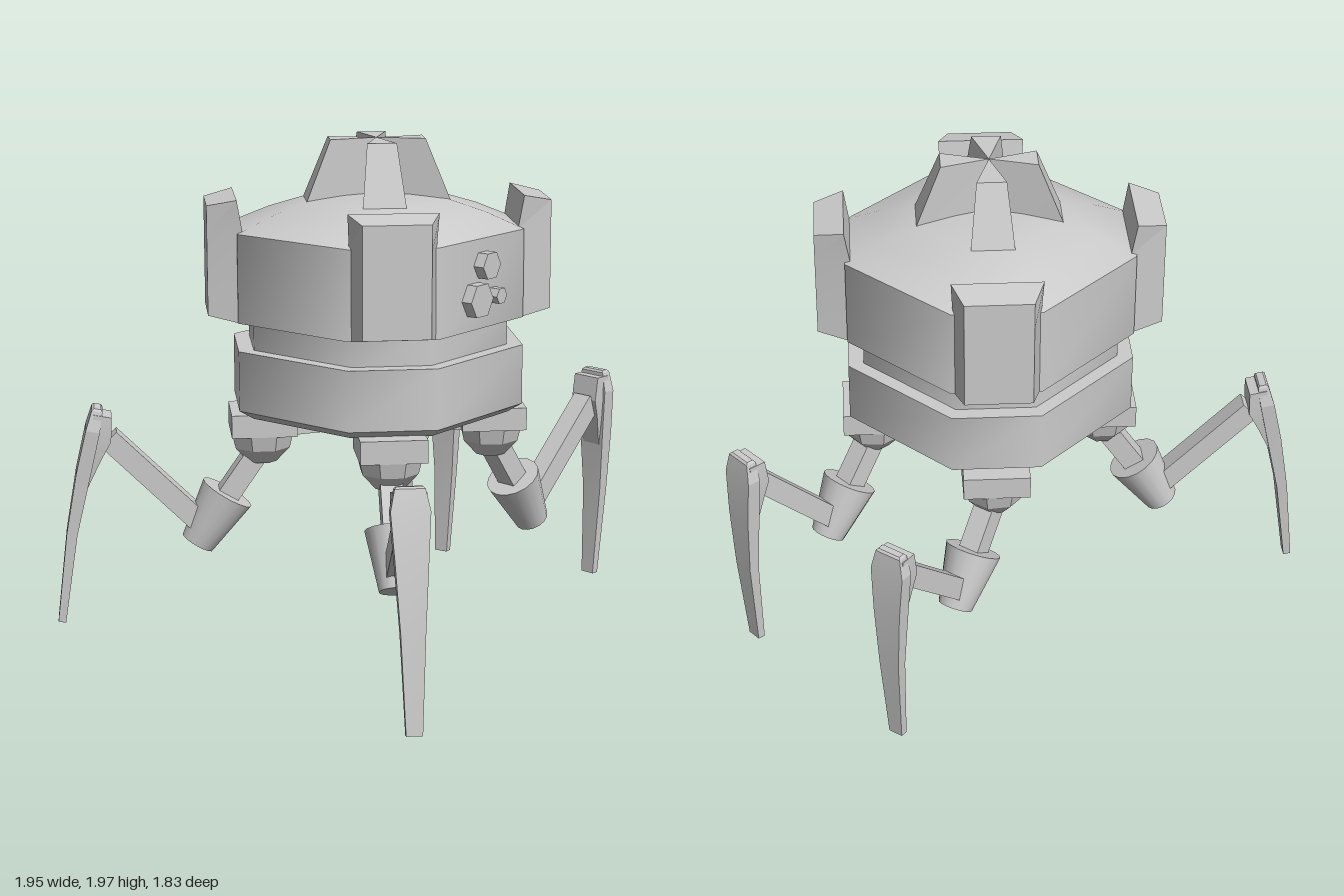
import * as THREE from 'three';
import { toCreasedNormals } from 'three/addons/utils/BufferGeometryUtils.js';

const material = new THREE.MeshStandardMaterial({ color: 0xcccccc });

function add(parent, name, geometry, crease = 0.1) {
  const mesh = new THREE.Mesh(toCreasedNormals(geometry, crease), material);
  mesh.name = name;
  parent.add(mesh);
  return mesh;
}

// Joins closed cross-sections (listed bottom to top, corners turning from +x to +z) and caps both ends
function loft(rings) {
  const n = rings[0].length, pos = rings.flat(2), index = [];
  for (let r = 0; r < rings.length - 1; r++) {
    for (let k = 0; k < n; k++) {
      const a = r * n + k, b = r * n + (k + 1) % n;
      index.push(a, a + n, b, b, a + n, b + n);
    }
  }
  const top = (rings.length - 1) * n;
  for (let k = 1; k < n - 1; k++) {
    index.push(0, k, k + 1, top, top + k + 1, top + k);
  }
  const g = new THREE.BufferGeometry();
  g.setAttribute('position', new THREE.Float32BufferAttribute(pos, 3));
  g.setIndex(index);
  return g;
}

// Octagon with wide sides and cut corners
function octagon(y, half) {
  const f = half * 0.53;
  return [[half, f], [f, half], [-f, half], [-half, f], [-half, -f], [-f, -half], [f, -half], [half, -f]]
    .map(([x, z]) => [x, y, z]);
}

// Pie slice pointing along the diagonal
const slice = (y, a, b) => [[0, y, 0], [a, y, b], [b, y, a]];

// Bar between two points in the leg's plane
function bar(x0, y0, x1, y1, thick, width) {
  const g = new THREE.BoxGeometry(Math.hypot(x1 - x0, y1 - y0), thick, width);
  g.rotateZ(Math.atan2(y1 - y0, x1 - x0));
  return g.translate((x0 + x1) / 2, (y0 + y1) / 2, 0);
}

function createBody() {
  const body = new THREE.Group();
  body.name = 'body';
  const smooth = 0.9;
  add(body, 'lowerDrum', loft([octagon(0.905, 0.46), octagon(0.94, 0.51), octagon(1.175, 0.51)]), smooth);
  add(body, 'neck', loft([octagon(1.15, 0.455), octagon(1.3, 0.455)]), smooth);
  add(body, 'upperHull', loft([octagon(1.285, 0.51), octagon(1.63, 0.51)]), smooth);
  add(body, 'dome', loft([octagon(1.63, 0.51), octagon(1.692, 0.38), octagon(1.738, 0.25),
    octagon(1.752, 0.12), octagon(1.755, 0.01)]), smooth);

  for (let i = 0; i < 4; i++) {
    const corner = new THREE.Group();
    corner.name = 'corner';
    corner.rotation.y = i * Math.PI / 2;
    body.add(corner);

    // Corner tower standing proud of the hull
    const tower = (yIn, yOut, s) => [
      [0.51 * s, yIn, 0.27 * s], [0.56, yOut, 0.38], [0.38, yOut, 0.56], [0.27 * s, yIn, 0.51 * s]];
    add(corner, 'cornerTower', loft([tower(1.28, 1.31, 0.96), tower(1.63, 1.63, 0.96), tower(1.76, 1.735, 1)]));

    // Roof fin and underside rib
    add(corner, 'roofFin', loft([slice(1.7, 0.268, 0.145), slice(1.97, 0.17, 0.09)]));
    add(corner, 'undersideRib', loft([slice(0.82, 0.41, 0.23), slice(0.915, 0.41, 0.23)]));

    // Leg mount
    const mount = new THREE.BoxGeometry(0.255, 0.09, 0.255);
    mount.rotateY(Math.PI / 4).translate(0.32, 0.865, 0.32);
    add(corner, 'legMount', mount);
  }

  // Hexagonal studs on the front panel
  for (const [x, y, r] of [[-0.06, 1.405, 0.07], [0, 1.53, 0.056], [0.065, 1.405, 0.033]]) {
    const stud = new THREE.CylinderGeometry(r, r, 0.06, 6);
    stud.rotateY(Math.PI / 6).rotateX(Math.PI / 2).translate(x, y, 0.525);
    add(body, 'hexStud', stud);
  }
  return body;
}

// Leg built in its own plane: x outward, y up
function createLeg(name, lift, tilt) {
  const leg = new THREE.Group();
  leg.name = name;
  const socket = [[0, 0.69], [0.06, 0.7], [0.115, 0.76], [0.13, 0.82], [0, 0.82]]
    .map(([x, y]) => new THREE.Vector2(x, y));
  add(leg, 'hipSocket', new THREE.LatheGeometry(socket, 8, Math.PI / 8));
  add(leg, 'thigh', bar(0.01, 0.75, 0.17, 0.52, 0.085, 0.085));

  // Tapered cup, wide end up
  const cup = new THREE.CylinderGeometry(0.11, 0.068, 0.235, 16);
  cup.rotateZ(Math.atan2(0.12, 0.2)).translate(0.2, 0.47, 0);
  add(leg, 'kneeCup', cup, 0.9);

  add(leg, 'forearm', bar(0.22, 0.43, 0.6, 0.755 + lift, 0.085, 0.085));

  // Shin with its bracket, swung outward around the upper knee
  const shin = new THREE.Group();
  shin.name = 'shin';
  shin.position.set(0.655, 0.815 + lift, 0);
  shin.rotation.z = tilt;
  leg.add(shin);
  const bracket = [[-0.25, -0.02, 0.01, 0.04], [-0.13, -0.05, 0.01, 0.055], [-0.05, -0.075, 0.01, 0.062], [0.045, -0.06, 0.01, 0.062]];
  const blade = [[-0.815, -0.03, 0, 0.03], [-0.45, -0.012, 0.03, 0.045], [-0.2, -0.02, 0.036, 0.06],
    [-0.02, -0.025, 0.03, 0.072], [0.06, -0.022, 0.02, 0.055], [0.068, -0.015, 0.012, 0.048]];
  const section = ([y, x0, x1, w]) => [[x1, y, -w], [x1, y, w], [x0, y, w], [x0, y, -w]];
  add(shin, 'kneeBracket', loft(bracket.map(section)));
  add(shin, 'shinBlade', loft(blade.map(section)), 0.25);
  return leg;
}

export function createModel() {
  const model = new THREE.Group();
  model.name = 'fourLeggedRobot';
  const robot = new THREE.Group();
  robot.name = 'robot';
  robot.position.x = -0.03;
  model.add(robot);
  robot.add(createBody());

  // Name, hip side, outward direction, lift and shin tilt
  const legs = [
    ['frontLeftLeg', 1, 1, 1, 0.11, 0.055, 0],
    ['backLeftLeg', 1, -1, 1, -0.11, 0, 0],
    ['frontRightLeg', -1, 1, -1, 0.98, 0, 0.2],
    ['backRightLeg', -1, -1, -1, -0.98, 0.055, 0.2],
  ];
  for (const [name, sx, sz, dx, dz, lift, tilt] of legs) {
    const leg = createLeg(name, lift, tilt);
    leg.position.set(sx * 0.325, 0, sz * 0.32);
    leg.rotation.y = Math.atan2(-dz, dx);
    robot.add(leg);
  }
  return model;
}
